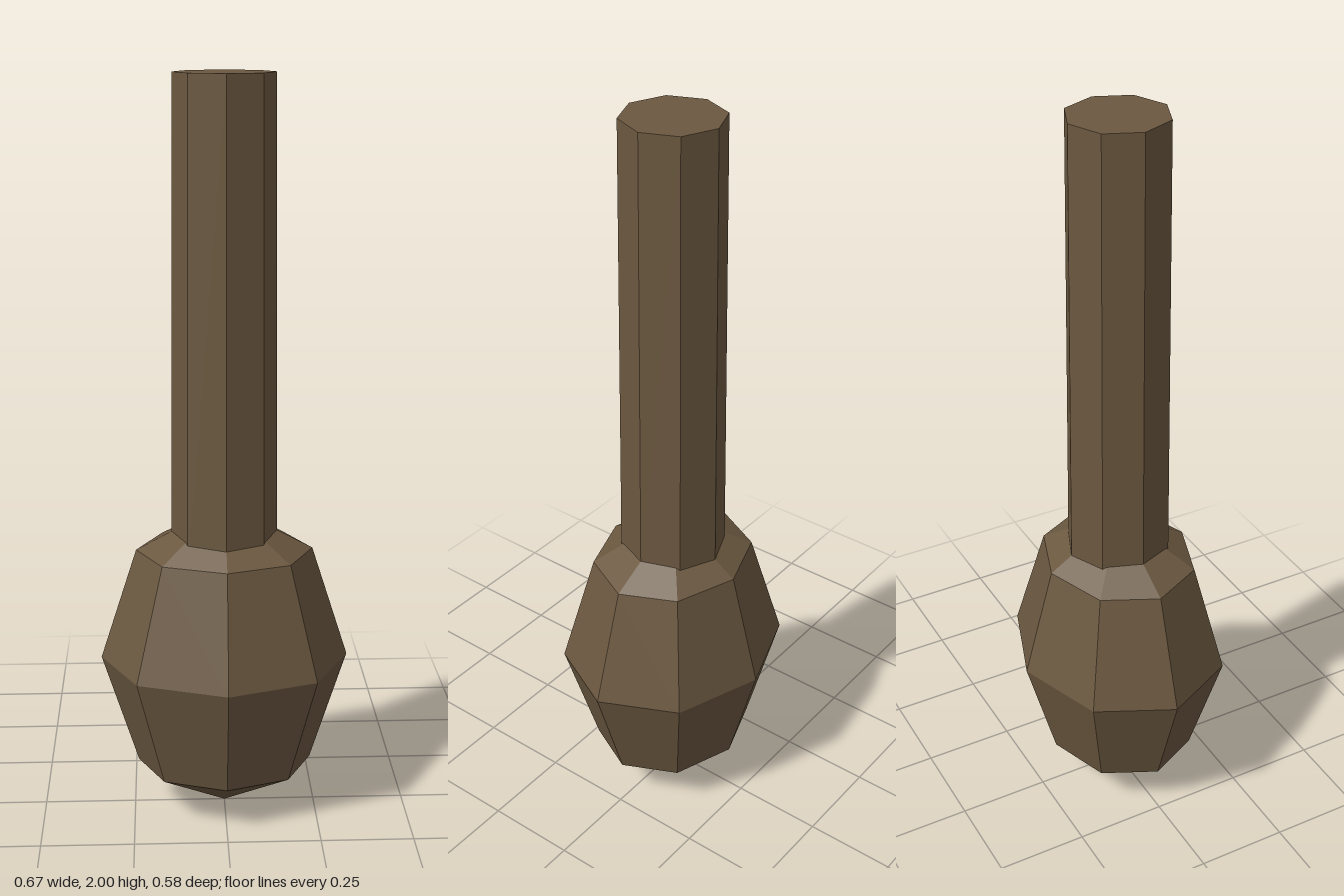
import * as THREE from 'three';

export function createModel() {
  const group = new THREE.Group();
  const wood = new THREE.MeshStandardMaterial({ color: 0x6b5840, flatShading: true });

  // Faceted head, slightly flattened front to back
  const headHalf = 0.436;
  const head = new THREE.Mesh(new THREE.SphereGeometry(1, 8, 4), wood);
  head.name = 'head';
  head.scale.set(0.337, headHalf, 0.288);
  head.position.y = headHalf;
  group.add(head);

  // Tapered octagonal handle, sunk into the top of the head
  const handleTop = 2, handleBottom = 0.7;
  const length = handleTop - handleBottom;
  const handle = new THREE.Mesh(new THREE.CylinderGeometry(0.132, 0.143, length, 8), wood);
  handle.name = 'handle';
  handle.position.y = handleBottom + length / 2;
  group.add(handle);

  return group;
}
